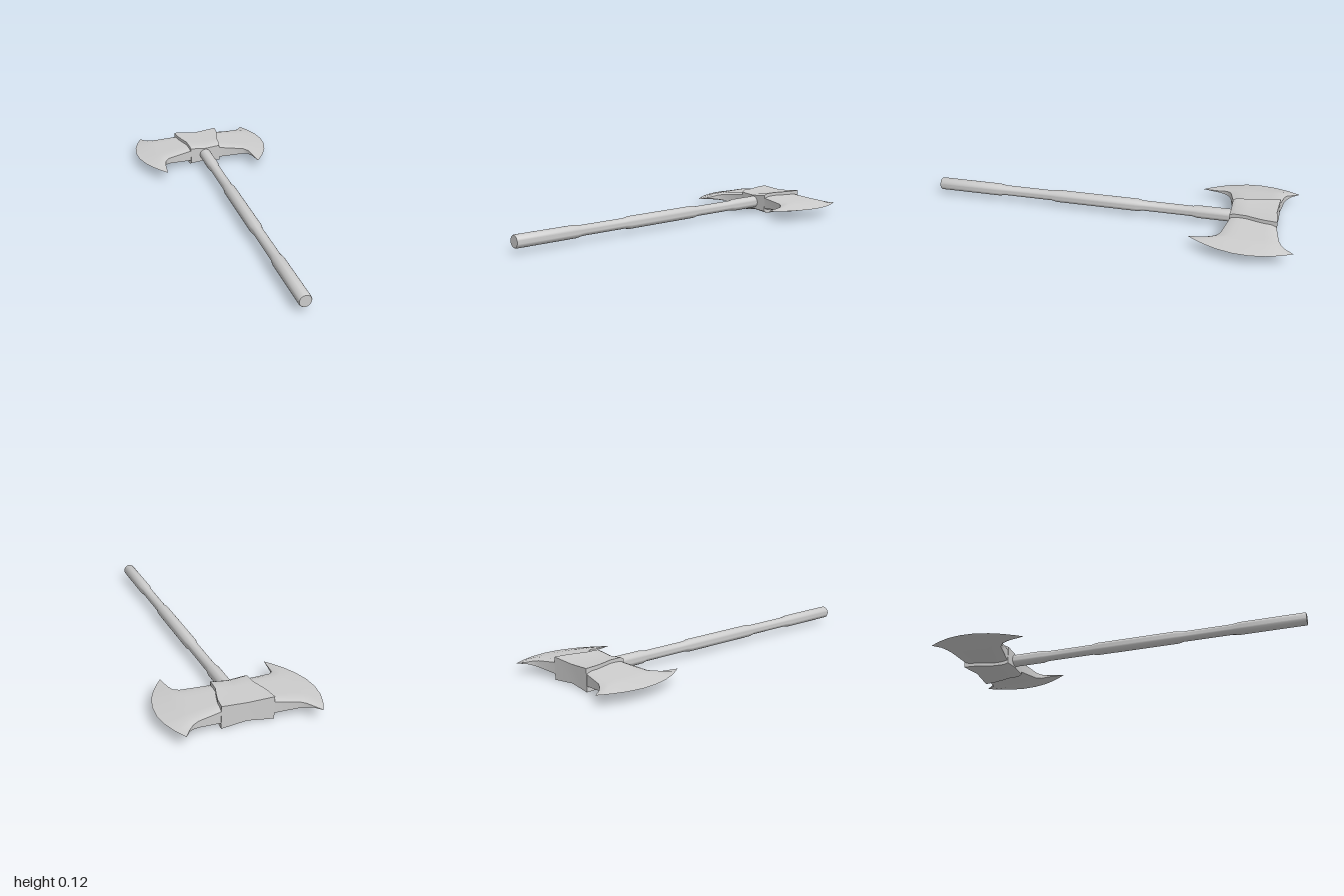
import * as THREE from 'three';
import { toCreasedNormals } from 'three/addons/utils/BufferGeometryUtils.js';

const MID_Y = 0.058;
const material = new THREE.MeshStandardMaterial({ color: 0xcccccc });

// Skins a list of equal-length rings; caps the ends that are asked for.
function loft(rings, capStart, capEnd, crease) {
  const n = rings[0].length;
  const positions = rings.flat(2);
  const index = [];
  for (let i = 0; i < rings.length - 1; i++) {
    for (let j = 0; j < n; j++) {
      const a = i * n + j, b = i * n + (j + 1) % n;
      index.push(a, b, b + n, a, b + n, a + n);
    }
  }
  // Caps are strips between opposite halves of the ring.
  const cap = (base, flip) => {
    for (let j = 0; j < n / 2 - 1; j++) {
      const a = base + j, b = a + 1, c = base + n - 2 - j, d = c + 1;
      if (flip) index.push(a, c, b, a, d, c);
      else index.push(a, b, c, a, c, d);
    }
  };
  if (capStart) cap(0, true);
  if (capEnd) cap((rings.length - 1) * n, false);
  const geometry = new THREE.BufferGeometry();
  geometry.setAttribute('position', new THREE.Float32BufferAttribute(positions, 3));
  geometry.setIndex(index);
  return toCreasedNormals(geometry, crease);
}

// Blade cross-section from its back corner to its front corner, bowed outward.
const T = [0, 0.05, 0.12, 0.25, 0.4, 0.55, 0.7, 0.82, 0.93, 1];
function bladeRing({ back, front, bow, h, end }) {
  const point = (t, side) => {
    const bulge = 4 * t * (1 - t);
    const thick = h * (end + (1 - end) * Math.min(1, bulge / 0.4));
    return [
      THREE.MathUtils.lerp(back[0], front[0], t) + bow * bulge,
      side * thick,
      THREE.MathUtils.lerp(back[1], front[1], t),
    ];
  };
  return [...T.map((t) => point(t, 1)), ...[...T].reverse().map((t) => point(t, -1))];
}

const bladeStations = [
  { back: [0.03, -0.893], front: [0.03, -0.657], bow: 0, h: 0.047, end: 0.75 },
  { back: [0.13, -0.902], front: [0.1, -0.657], bow: 0, h: 0.040, end: 0.75 },
  { back: [0.25, -0.922], front: [0.235, -0.628], bow: 0, h: 0.026, end: 0.65 },
  { back: [0.28, -0.936], front: [0.26, -0.605], bow: 0.01, h: 0.023, end: 0.5 },
  { back: [0.305, -0.958], front: [0.27, -0.56], bow: 0.025, h: 0.018, end: 0.25 },
  { back: [0.335, -1.0], front: [0.28, -0.47], bow: 0.095, h: 0, end: 0 },
];

// Collar cross-section: top and bottom dip toward the centre.
function collarRing(z, w, k) {
  const dip = 0.048 * k, rim = 0.0585 * k, bend = z < -0.85 ? 0.01 : 0;
  return [
    [-w, -rim, z], [0, -dip, z + bend], [w, -rim, z],
    [w, rim, z], [0, dip, z + bend], [-w, rim, z],
  ];
}

export function createModel() {
  const group = new THREE.Group();
  const add = (name, geometry) => {
    const mesh = new THREE.Mesh(geometry, material);
    mesh.name = name;
    mesh.position.y = MID_Y;
    group.add(mesh);
    return mesh;
  };

  // Handle with two slimmer grips, from the head to the butt
  const profile = [
    [0, -0.7], [0.034, -0.7], [0.034, -0.48], [0.028, -0.45], [0.028, -0.18],
    [0.034, -0.15], [0.034, 0.31], [0.028, 0.34], [0.028, 0.61], [0.034, 0.65],
    [0.034, 0.995], [0.031, 1], [0, 1],
  ].map(([r, y]) => new THREE.Vector2(r, y));
  const handle = new THREE.LatheGeometry(profile, 24).rotateX(Math.PI / 2);
  add('handle', toCreasedNormals(handle, 0.6));

  // Twin blades, the second turned about the handle
  const blade = loft(bladeStations.map(bladeRing), true, false, 0.7);
  add('leftBlade', blade);
  add('rightBlade', blade).rotation.z = Math.PI;

  // Collar wrapping the middle of the head, wider at the back
  const collar = [
    [-0.905, 0.133, 1], [-0.84, 0.126, 1], [-0.79, 0.113, 1],
    [-0.74, 0.097, 1], [-0.675, 0.094, 1], [-0.655, 0.09, 0.82],
  ].map(([z, w, k]) => collarRing(z, w, k));
  add('collar', loft(collar, true, true, 0.5));

  return group;
}
